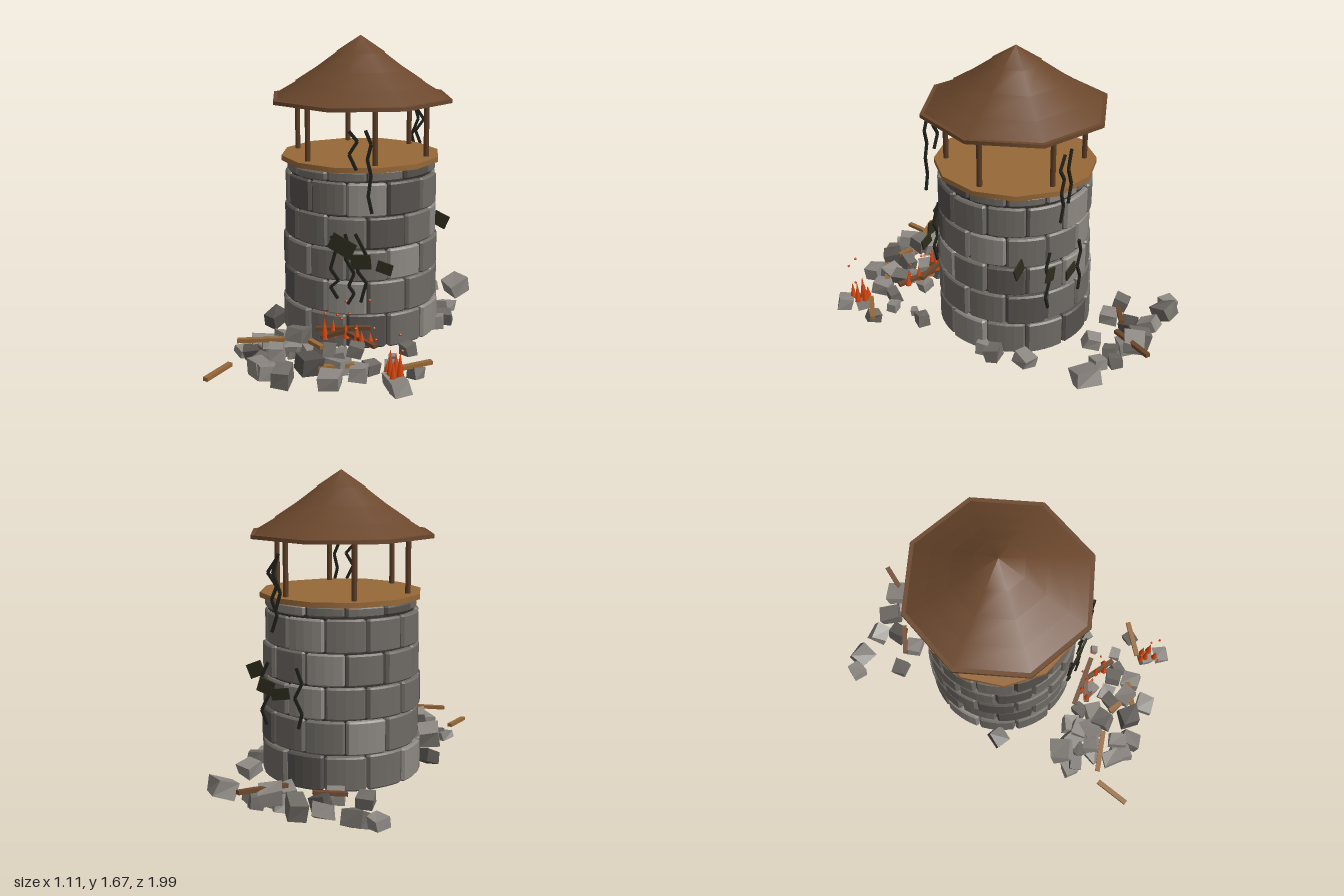
import * as THREE from 'three';

const CX = -0.035, CZ = -0.07; // tower axis

export function createModel() {
  const root = new THREE.Group();
  root.name = 'ruinedWatchtower';
  const colors = {
    stone: 0x6e6a64, paleStone: 0x8c8781, darkStone: 0x55514d, core: 0x34302e, roofWood: 0x6b472c,
    lightWood: 0x966838, postWood: 0x5a3b24, soot: 0x22221c, charred: 0x2e2c1f, flame: 0xd4440c,
  };
  const mat = {};
  for (const [name, color] of Object.entries(colors)) {
    mat[name] = new THREE.MeshStandardMaterial({ color });
    mat[name].name = name;
  }

  let seed = 7;
  const rnd = () => (seed = (seed * 16807) % 2147483647) / 2147483647;
  const jit = (a) => (rnd() * 2 - 1) * a;

  const group = (name, x = 0, z = 0) => {
    const g = new THREE.Group();
    g.name = name;
    g.position.set(x, 0, z);
    root.add(g);
    return g;
  };
  const add = (parent, name, geo, material, x = 0, y = 0, z = 0) => {
    const m = new THREE.Mesh(geo, material);
    m.name = name;
    m.position.set(x, y, z);
    parent.add(m);
    return m;
  };
  // square bar from a to b
  const beam = (parent, name, a, b, w, h, material) => {
    const p = new THREE.Vector3(...a), q = new THREE.Vector3(...b);
    const mid = p.clone().add(q).multiplyScalar(0.5);
    const m = add(parent, name, new THREE.BoxGeometry(w, h, p.distanceTo(q)), material, mid.x, mid.y, mid.z);
    m.lookAt(q);
    return m;
  };

  // ---- stone wall: rows of curved blocks around a dark core
  const wall = group('wall', CX, CZ);
  add(wall, 'core', new THREE.CylinderGeometry(0.398, 0.408, 0.955, 24), mat.core, 0, 0.4975, 0);

  const blockGeo = (a0, a1, r, height) => {
    const bevel = 0.009, shape = new THREE.Shape();
    const pt = (a, rad, first) => shape[first ? 'moveTo' : 'lineTo'](Math.sin(a) * rad, -Math.cos(a) * rad);
    pt(a0, 0.36, true);
    pt(a0, r - 0.014);
    for (let i = 0; i <= 4; i++) pt(a0 + 0.03 + ((a1 - a0 - 0.06) * i) / 4, r);
    pt(a1, r - 0.014);
    pt(a1, 0.36);
    const geo = new THREE.ExtrudeGeometry(shape, {
      depth: height - 2 * bevel, bevelThickness: bevel, bevelSize: bevel, bevelOffset: -bevel, bevelSegments: 1,
    });
    return geo.translate(0, 0, bevel).rotateX(-Math.PI / 2);
  };
  // bottom, top, radius, first joint in degrees, pale blocks, dark blocks
  const rows = [
    [0.015, 0.2, 0.436, 8, [2, 8], [0, 5]],
    [0.205, 0.385, 0.43, -7, [0, 7], [4, 10]],
    [0.39, 0.56, 0.428, 8, [1, 5], [3, 9]],
    [0.565, 0.735, 0.422, -7, [3, 6], [1, 10]],
    [0.74, 0.915, 0.42, 8, [0, 5], [1, 10]],
    [0.922, 0.975, 0.413, -7, [5], [2, 8]],
  ];
  for (const [y0, y1, r, start, pale, dark] of rows) {
    for (let i = 0; i < 12; i++) {
      const a0 = THREE.MathUtils.degToRad(start + i * 30) + 0.008;
      const a1 = a0 + Math.PI / 6 - 0.016;
      const m = pale.includes(i) ? mat.paleStone : dark.includes(i) ? mat.darkStone : mat.stone;
      add(wall, 'wallBlock', blockGeo(a0, a1, r + jit(0.008), y1 - y0 + jit(0.004)), m, 0, y0, 0);
    }
  }

  // ---- lookout: deck, six posts and tiered roof
  const lookout = group('lookout', CX, CZ);
  add(lookout, 'deck', new THREE.CylinderGeometry(0.442, 0.442, 0.028, 12), mat.lightWood, 0, 0.991, 0);
  for (let i = 0; i < 6; i++) {
    const a = (i * Math.PI) / 3;
    add(lookout, 'post', new THREE.CylinderGeometry(0.015, 0.015, 0.31, 8), mat.postWood,
      Math.cos(a) * 0.375, 1.155, Math.sin(a) * 0.325 / 0.866 );
  }
  add(lookout, 'eave', new THREE.CylinderGeometry(0.515, 0.515, 0.02, 8), mat.roofWood, 0, 1.312, 0);
  const tiers = [[1.32, 1.395, 0.495, 0.365], [1.39, 1.475, 0.385, 0.25], [1.465, 1.565, 0.265, 0.125], [1.56, 1.65, 0.14, 0]];
  for (const [y0, y1, rb, rt] of tiers) {
    add(lookout, 'roofTier', new THREE.CylinderGeometry(rt, rb, y1 - y0, 8), mat.roofWood, 0, (y0 + y1) / 2, 0);
  }

  // ---- rubble: boxes with shifted corners; each entry is x, z, size, height of centre
  const rubble = group('rubble');
  const rockGeo = (s) => {
    const geo = new THREE.BoxGeometry(s * (1 + jit(0.15)), s * (0.8 + jit(0.12)), s * (1 + jit(0.15)));
    const p = geo.attributes.position, shift = {};
    for (let i = 0; i < p.count; i++) {
      const key = [p.getX(i) > 0, p.getY(i) > 0, p.getZ(i) > 0].join();
      const d = (shift[key] ??= [jit(s * 0.09), jit(s * 0.09), jit(s * 0.09)]);
      p.setXYZ(i, p.getX(i) + d[0], p.getY(i) + d[1], p.getZ(i) + d[2]);
    }
    const flat = geo.toNonIndexed();
    flat.computeVertexNormals();
    return flat;
  };
  const scatter = (list) => list.forEach(([x, z, s, y = s * 0.5], i) => {
    const m = add(rubble, 'rubbleStone', rockGeo(s), i % 3 === 1 ? mat.stone : i % 7 === 3 ? mat.darkStone : mat.paleStone, x, y, z);
    m.rotation.set(jit(0.3), rnd() * 3, jit(0.3));
  });
  scatter([ // front pile, outer stones
    [-0.38, 0.52, 0.11], [-0.29, 0.54, 0.09], [-0.46, 0.6, 0.07], [-0.41, 0.61, 0.08], [-0.33, 0.6, 0.08],
    [-0.21, 0.49, 0.09], [-0.28, 0.8, 0.1], [-0.31, 0.7, 0.08], [-0.17, 0.78, 0.08], [-0.23, 0.83, 0.1],
    [-0.14, 0.85, 0.1], [0.11, 0.84, 0.1], [0.21, 0.7, 0.1], [0.24, 0.6, 0.07], [0.33, 0.54, 0.06], [0.3, 0.41, 0.04],
  ]);
  scatter([ // front pile, stacked stones
    [-0.2, 0.62, 0.1, 0.14], [-0.13, 0.66, 0.09, 0.19], [-0.08, 0.58, 0.1, 0.06], [-0.02, 0.79, 0.1, 0.1],
    [0.01, 0.65, 0.09, 0.12], [0.07, 0.6, 0.09, 0.07], [0.1, 0.72, 0.1, 0.07], [0.16, 0.6, 0.08, 0.12],
    [-0.22, 0.56, 0.09, 0.1], [-0.28, 0.66, 0.08, 0.13], [-0.1, 0.5, 0.08], [-0.19, 0.79, 0.09, 0.14],
    [0.45, 0.8, 0.09], [0.47, 0.58, 0.07], [0.39, 0.72, 0.07], [0.05, 0.5, 0.07],
  ]);
  scatter([ // back pile
    [-0.5, -0.85, 0.08], [-0.4, -0.87, 0.1], [-0.22, -0.84, 0.1], [-0.17, -0.74, 0.09], [-0.08, -0.84, 0.11],
    [0.04, -0.86, 0.1, 0.11], [0.01, -0.8, 0.09], [0.1, -0.75, 0.08], [0.21, -0.73, 0.07], [0.37, -0.73, 0.11],
    [-0.36, -0.61, 0.09], [-0.2, -0.61, 0.09], [0.06, -0.62, 0.08], [0.15, -0.8, 0.07],
  ]);
  scatter([ // beside the wall
    [0.39, -0.37, 0.09], [0.43, -0.2, 0.09], [0.4, -0.12, 0.08], [-0.48, 0.13, 0.1], [0.36, 0.32, 0.08],
  ]);

  // ---- fallen planks
  const planks = group('planks');
  const plank = (a, b, m = mat.lightWood) => beam(planks, 'plank', a, b, 0.028, 0.02, m);
  plank([-0.45, 0.04, 0.79], [-0.49, 0.035, 0.99]);
  plank([-0.42, 0.16, 0.76], [-0.19, 0.17, 0.69]);
  plank([0.37, 0.07, 0.67], [0.54, 0.08, 0.53]);
  plank([0.03, 0.09, 0.8], [0.18, 0.08, 0.69]);
  plank([-0.06, 0.17, 0.67], [0.02, 0.16, 0.71]);
  plank([0.16, 0.15, -0.99], [0.01, 0.12, -0.74], mat.roofWood);
  plank([-0.27, 0.07, -0.63], [-0.12, 0.09, -0.72], mat.roofWood);
  plank([-0.11, 0.15, 0.46], [0.19, 0.18, 0.43], mat.roofWood);
  plank([0.04, 0.15, 0.44], [0.25, 0.13, 0.55], mat.roofWood);
  plank([-0.06, 0.13, 0.52], [0.08, 0.16, 0.44], mat.postWood);

  // ---- fires: clusters of thin cones, with floating embers
  const fires = group('fires');
  const flames = [
    [0.38, 0.72, 0.14], [0.43, 0.72, 0.13], [0.4, 0.69, 0.11], [0.41, 0.77, 0.1], [0.36, 0.7, 0.07],
    [-0.04, 0.51, 0.12], [-0.01, 0.46, 0.1], [0.06, 0.46, 0.08], [0.13, 0.49, 0.1], [0.17, 0.53, 0.08], [0.21, 0.51, 0.07],
  ];
  flames.forEach(([x, z, h], i) => {
    add(fires, 'flame', new THREE.ConeGeometry(0.02, h, 6), mat.flame, x, (i < 5 ? 0.065 : 0.12) + h / 2, z);
  });
  const embers = [
    [0.02, 0.25, 0.48], [0.05, 0.31, 0.43], [0.18, 0.33, 0.43], [0.33, 0.275, 0.8], [0.44, 0.3, 0.76], [0.44, 0.2, 0.72],
    [0.1, 0.28, 0.52], [0.05, 0.24, 0.5], [0.14, 0.21, 0.54], [0.22, 0.2, 0.48], [-0.03, 0.27, 0.53],
  ];
  for (const [x, y, z] of embers) add(fires, 'ember', new THREE.IcosahedronGeometry(0.008, 0), mat.flame, x, y, z);

  // ---- cracks: zigzag bars; points are x, y
  const cracks = group('cracks');
  const zigzag = (z, pts) => {
    for (let i = 0; i + 1 < pts.length; i++) {
      beam(cracks, 'crack', [...pts[i], z], [...pts[i + 1], z], 0.012, 0.015, mat.soot);
    }
  };
  zigzag(0.375, [[-0.05, 0.64], [-0.02, 0.58], [-0.055, 0.46], [-0.01, 0.4], [-0.055, 0.36], [-0.015, 0.3]]);
  zigzag(0.385, [[0.03, 0.66], [0.05, 0.6], [0.03, 0.53], [0.08, 0.45], [0.05, 0.38], [0.08, 0.34], [0.045, 0.28]]);
  zigzag(0.365, [[0.08, 0.66], [0.14, 0.55], [0.09, 0.46], [0.14, 0.4], [0.11, 0.29]]);
  zigzag(0.375, [[0.05, 1.2], [0.095, 1.15], [0.05, 1.08], [0.09, 1.0]]);
  zigzag(0.38, [[0.14, 1.21], [0.17, 1.14], [0.15, 1.06], [0.17, 0.98], [0.155, 0.87], [0.175, 0.78]]);
  zigzag(-0.47, [[0.17, 1.21], [0.22, 1.14], [0.17, 1.07], [0.2, 1.0], [0.17, 0.92], [0.2, 0.83]]);
  zigzag(-0.495, [[0.15, 1.24], [0.18, 1.14], [0.14, 1.04], [0.17, 0.94]]);
  zigzag(-0.435, [[0.24, 0.66], [0.28, 0.58], [0.24, 0.48], [0.28, 0.4], [0.25, 0.32]]);
  zigzag(-0.51, [[0.05, 0.66], [0.02, 0.58], [0.06, 0.5], [0.02, 0.42], [0.04, 0.34]]);

  // ---- scorched plates: x, y, z, width, height, tilt
  const plates = [
    [0.015, 0.595, 0.39, 0.14, 0.09, -0.45], [0.115, 0.515, 0.38, 0.11, 0.075, 0.1], [0.235, 0.485, 0.35, 0.085, 0.06, -0.25],
    [0.365, 0.585, -0.32, 0.09, 0.08, -0.4], [0.25, 0.53, -0.445, 0.09, 0.075, 0.3], [0.14, 0.515, -0.51, 0.1, 0.06, -0.15],
  ];
  for (const [x, y, z, w, h, tilt] of plates) {
    add(cracks, 'scorchedPlate', new THREE.BoxGeometry(w, h, 0.009), mat.charred, x, y, z).rotation.z = tilt;
  }
  return root;
}
